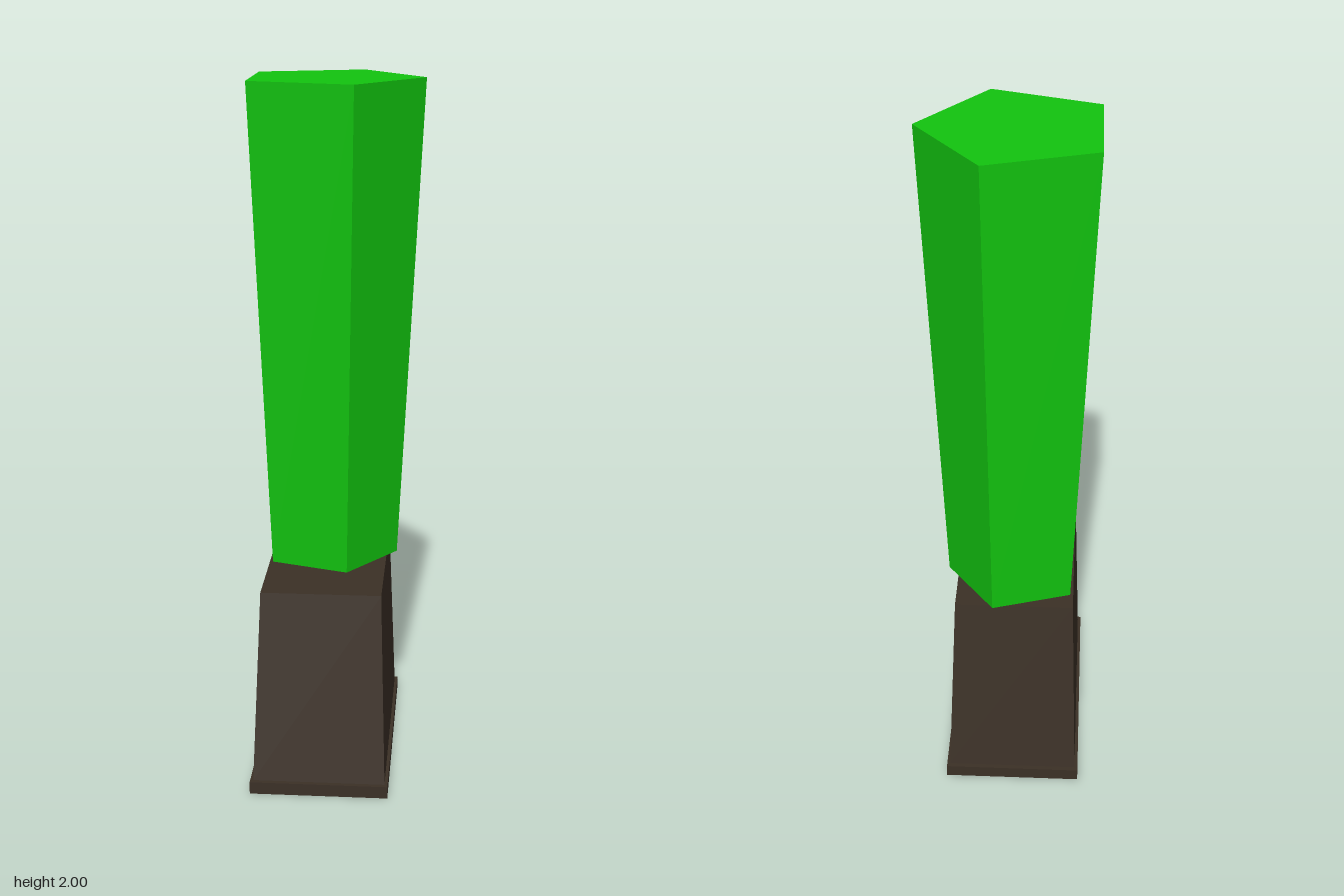
import * as THREE from 'three';

const AXIS_X = -0.027;

export function createModel() {
  const group = new THREE.Group();
  const green = new THREE.MeshStandardMaterial({ color: 0x12c40f });
  green.name = 'green';
  const brown = new THREE.MeshStandardMaterial({ color: 0x3b3026 });
  brown.name = 'darkBrown';

  const add = (name, geometry, material, x, y, z) => {
    const mesh = new THREE.Mesh(geometry, material);
    mesh.name = name;
    mesh.position.set(x, y, z);
    group.add(mesh);
  };

  // Box whose top face is narrowed to its own width and depth
  const taperedBox = (width, height, depth, topWidth, topDepth) => {
    const geometry = new THREE.BoxGeometry(width, height, depth);
    const p = geometry.attributes.position;
    for (let i = 0; i < p.count; i++) {
      if (p.getY(i) > 0) {
        p.setX(i, Math.sign(p.getX(i)) * topWidth / 2);
        p.setZ(i, Math.sign(p.getZ(i)) * topDepth / 2);
      }
    }
    geometry.computeVertexNormals();
    return geometry;
  };

  // Foot plate and tapered pedestal
  add('footPlate', new THREE.BoxGeometry(0.398, 0.036, 0.744), brown, AXIS_X, 0.018, 0);
  add('pedestal', taperedBox(0.38, 0.549, 0.716, 0.345, 0.546), brown, AXIS_X, 0.3105, 0);

  // Five-sided column, widening upwards, with one corner pointing to +x
  const column = new THREE.CylinderGeometry(0.272, 0.202, 1.415, 5, 1, false, Math.PI / 2).toNonIndexed();
  column.computeVertexNormals();
  add('column', column, green, AXIS_X, 1.2925, -0.092);

  return group;
}
